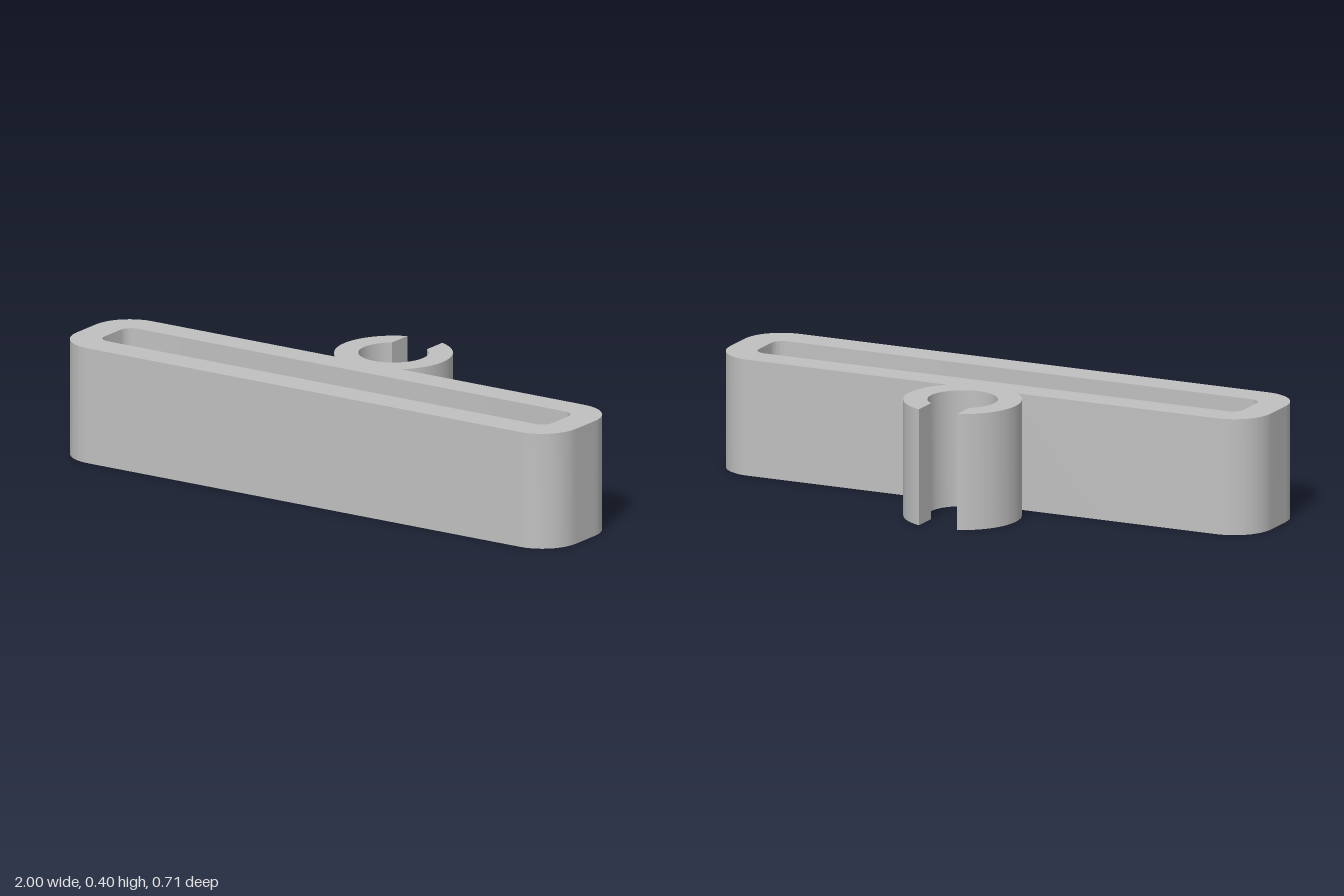
import * as THREE from 'three';
import { toCreasedNormals } from 'three/addons/utils/BufferGeometryUtils.js';

const HEIGHT = 0.397;

// Rounded rectangle outline; shape y is world -z
function roundedRect(target, x, y0, y1, r) {
  target.moveTo(x, y0 + r);
  target.lineTo(x, y1 - r);
  target.absarc(x - r, y1 - r, r, 0, Math.PI / 2);
  target.absarc(-x + r, y1 - r, r, Math.PI / 2, Math.PI);
  target.absarc(-x + r, y0 + r, r, Math.PI, Math.PI * 1.5);
  target.absarc(x - r, y0 + r, r, Math.PI * 1.5, Math.PI * 2);
  return target;
}

// Extrude a plan shape upward from y = 0
function upright(name, shape, material) {
  const geometry = new THREE.ExtrudeGeometry(shape, { depth: HEIGHT, bevelEnabled: false, curveSegments: 24 });
  geometry.rotateX(-Math.PI / 2);
  const mesh = new THREE.Mesh(toCreasedNormals(geometry, Math.PI / 6), material);
  mesh.name = name;
  return mesh;
}

export function createModel() {
  const group = new THREE.Group();
  group.name = 'clipOnLoop';
  const grey = new THREE.MeshStandardMaterial({ color: 0xc0c0c0 });
  grey.name = 'grey';

  // Long slotted loop
  const back = 0.025;
  const loop = roundedRect(new THREE.Shape(), 1, -0.357, back, 0.135);
  loop.holes.push(roundedRect(new THREE.Path(), 0.897, -0.251, -0.075, 0.042));
  group.add(upright('slottedLoop', loop, grey));

  // Open round clip, its foot cut flush with the back of the loop
  const centre = 0.173, outer = 0.197, inner = 0.117, gap = 0.07;
  const foot = Math.asin((back - centre) / outer);
  const outerGap = Math.acos(gap / outer);
  const innerGap = Math.acos(gap / inner);
  const clip = new THREE.Shape();
  clip.absarc(0, centre, outer, foot, outerGap, false);
  clip.absarc(0, centre, inner, innerGap, Math.PI - innerGap, true);
  clip.absarc(0, centre, outer, Math.PI - outerGap, Math.PI - foot, false);
  clip.closePath();
  group.add(upright('roundClip', clip, grey));

  return group;
}
